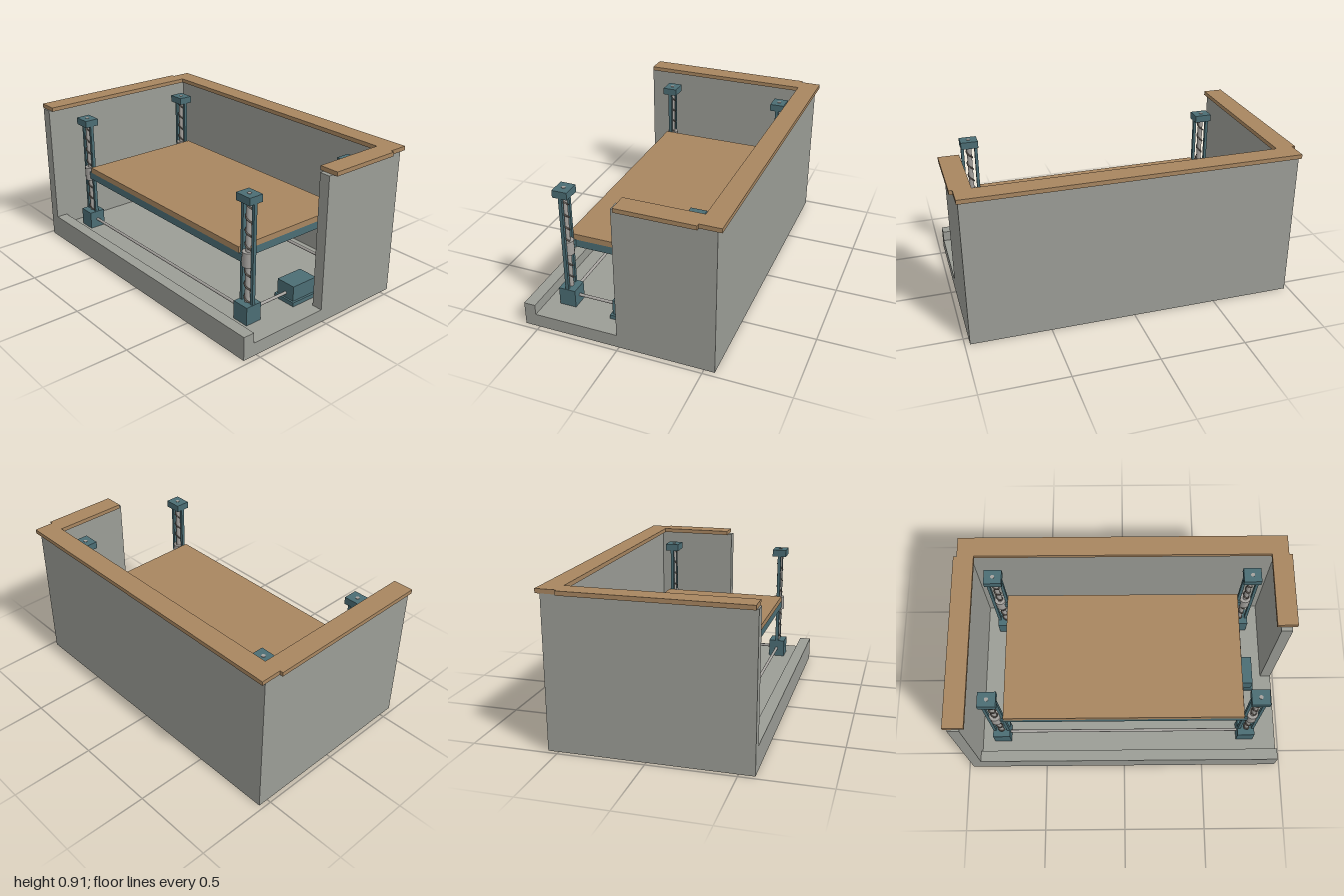
import * as THREE from 'three';

const mat = (name, color) => {
  const m = new THREE.MeshStandardMaterial({ color });
  m.name = name;
  return m;
};

// Helical curve around the y axis
class Helix extends THREE.Curve {
  constructor(radius, y0, y1, pitch) {
    super();
    Object.assign(this, { radius, y0, y1, pitch });
  }
  getPoint(t, target = new THREE.Vector3()) {
    const h = (this.y1 - this.y0) * t, a = (h / this.pitch) * Math.PI * 2;
    return target.set(Math.cos(a) * this.radius, this.y0 + h, Math.sin(a) * this.radius);
  }
}

export function createModel() {
  const concrete = mat('concrete', 0x9b9d96);
  const wood = mat('wood', 0xa88660);
  const teal = mat('tealPaint', 0x4b6d74);
  const steel = mat('steel', 0xa5a29e);
  const thread = mat('darkThread', 0x686059);

  const model = new THREE.Group();
  model.name = 'liftPit';

  // Box given by its limits on each axis
  const box = (parent, name, m, x0, x1, y0, y1, z0, z1) => {
    const mesh = new THREE.Mesh(new THREE.BoxGeometry(x1 - x0, y1 - y0, z1 - z0), m);
    mesh.position.set((x0 + x1) / 2, (y0 + y1) / 2, (z0 + z1) / 2);
    mesh.name = name;
    parent.add(mesh);
    return mesh;
  };
  // Cylinder along a chosen axis
  const rod = (parent, name, m, r, length, axis, x, y, z, sides = 20) => {
    const mesh = new THREE.Mesh(new THREE.CylinderGeometry(r, r, length, sides), m);
    if (axis === 'x') mesh.rotation.z = Math.PI / 2;
    if (axis === 'z') mesh.rotation.x = Math.PI / 2;
    mesh.position.set(x, y, z);
    mesh.name = name;
    parent.add(mesh);
    return mesh;
  };

  // Concrete pit, cut away at the front and front left corner
  const pit = new THREE.Group();
  pit.name = 'pit';
  model.add(pit);
  box(pit, 'pitFloor', concrete, -0.975, 0.97, 0, 0.08, -0.562, 0.589);
  box(pit, 'backWall', concrete, -0.975, 0.97, 0.08, 0.886, -0.562, -0.492);
  box(pit, 'rightWall', concrete, -0.975, -0.907, 0.08, 0.886, -0.492, 0.589);
  box(pit, 'leftWall', concrete, 0.904, 0.97, 0.08, 0.886, -0.492, 0.013);
  box(pit, 'frontLip', concrete, -0.907, 0.97, 0.08, 0.143, 0.52, 0.589);

  // Wooden coping on top of the walls
  const coping = new THREE.Group();
  coping.name = 'coping';
  model.add(coping);
  box(coping, 'backCoping', wood, -0.98, 0.98, 0.886, 0.911, -0.588, -0.466);
  box(coping, 'rightCoping', wood, -1, -0.88, 0.886, 0.911, -0.466, 0.579);
  box(coping, 'leftCoping', wood, 0.88, 1, 0.886, 0.911, -0.466, -0.013);

  // Platform: deck on a steel frame
  const platform = new THREE.Group();
  platform.name = 'platform';
  model.add(platform);
  box(platform, 'deck', wood, -0.727, 0.722, 0.473, 0.508, -0.392, 0.413);
  for (const z of [-0.37, 0.39])
    box(platform, 'longBeam', teal, -0.76, 0.755, 0.425, 0.473, z - 0.021, z + 0.021);
  for (const x of [-0.705, -0.24, 0.235, 0.7])
    box(platform, 'crossBeam', teal, x - 0.02, x + 0.02, 0.425, 0.473, -0.349, 0.369);

  // Screw column at each corner
  const coil = new THREE.TubeGeometry(new Helix(0.0165, 0.19, 0.785, 0.08), 160, 0.005, 6);
  for (const x of [-0.777, 0.772]) for (const z of [-0.37, 0.39]) {
    const column = new THREE.Group();
    column.name = 'screwColumn';
    column.position.set(x, 0, z);
    model.add(column);
    box(column, 'gearbox', teal, -0.053, 0.053, 0.08, 0.19, -0.051, 0.051);
    box(column, 'topBearing', teal, -0.053, 0.053, 0.786, 0.83, -0.045, 0.045);
    for (const s of [-1, 1])
      box(column, 'guideBar', teal, s * 0.042 - 0.009, s * 0.042 + 0.009, 0.19, 0.786, -0.01, 0.01);
    rod(column, 'screwCore', steel, 0.015, 0.596, 'y', 0, 0.488, 0);
    rod(column, 'screwEnd', steel, 0.012, 0.004, 'y', 0, 0.831, 0);
    rod(column, 'liftNut', steel, 0.034, 0.086, 'y', 0, 0.453, 0, 28);
    const spiral = new THREE.Mesh(coil, thread);
    spiral.name = 'screwThread';
    column.add(spiral);
  }

  // Motor and drive shafts
  const drive = new THREE.Group();
  drive.name = 'drive';
  model.add(drive);
  box(drive, 'motorBase', teal, 0.697, 0.847, 0.08, 0.105, -0.089, 0.111);
  box(drive, 'motorHousing', teal, 0.707, 0.833, 0.105, 0.197, -0.079, 0.099);
  rod(drive, 'frontMotorShaft', steel, 0.009, 0.245, 'z', 0.772, 0.134, 0.219);
  rod(drive, 'backMotorShaft', steel, 0.009, 0.245, 'z', 0.772, 0.134, -0.199);
  for (const z of [-0.37, 0.39])
    rod(drive, 'crossShaft', steel, 0.009, 1.45, 'x', -0.0025, 0.134, z);

  return model;
}
